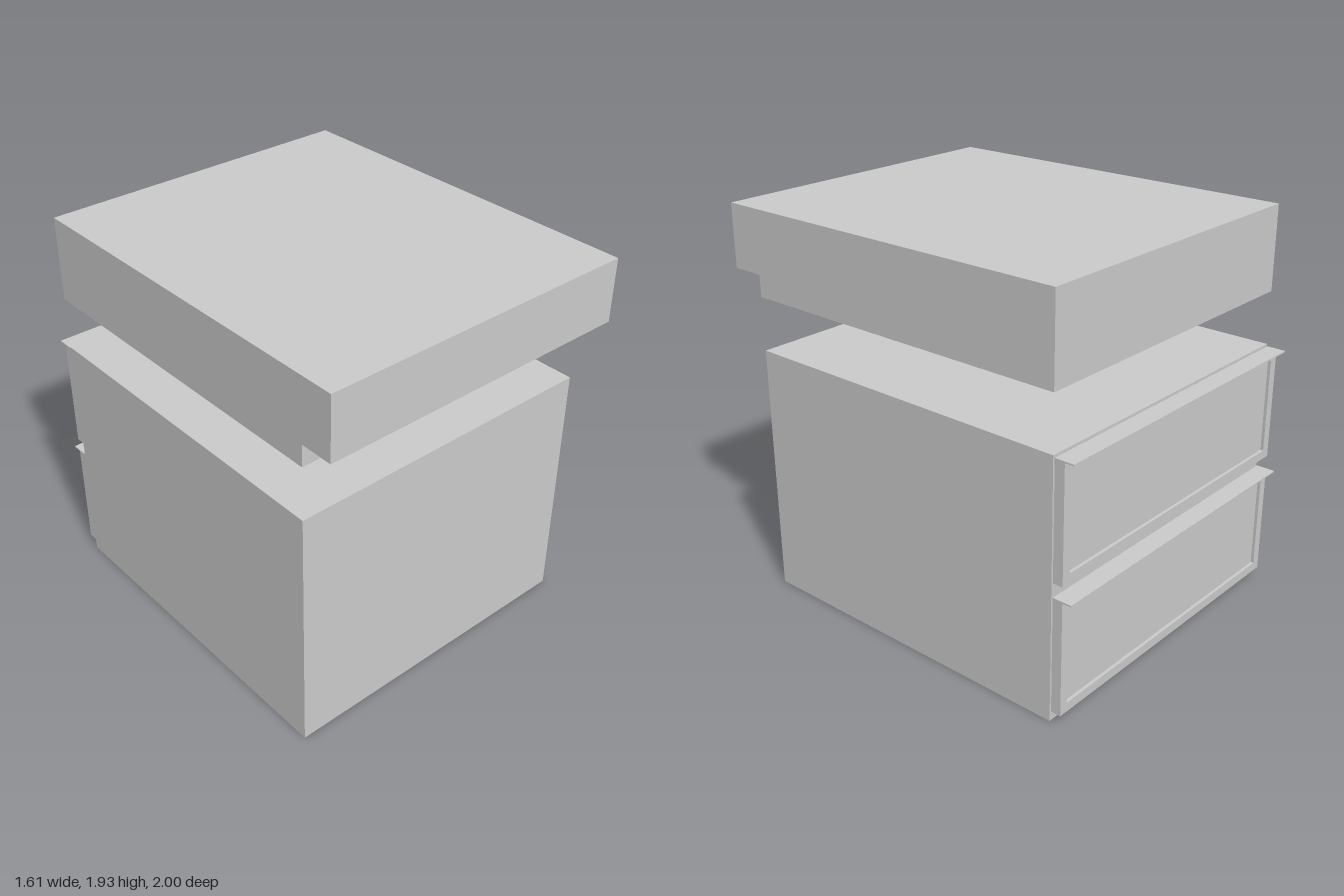
import * as THREE from 'three';

const WIDTH = 1.612;
const material = new THREE.MeshStandardMaterial({ color: 0xcccccc, flatShading: true });

// Box given by its y and z extents, centred on x
function slab(name, width, y0, y1, z0, z1) {
  const mesh = new THREE.Mesh(new THREE.BoxGeometry(width, y1 - y0, z1 - z0), material);
  mesh.position.set(0, (y0 + y1) / 2, (z0 + z1) / 2);
  mesh.name = name;
  return mesh;
}

// Worktop slab with a step under its front overhang, drawn in (z, y) and extruded across x
function createWorktop() {
  const profile = new THREE.Shape([
    [-0.9, 1.515], [0.835, 1.515], [0.835, 1.622], [1, 1.622], [1, 1.932], [-0.9, 1.932],
  ].map(([z, y]) => new THREE.Vector2(z, y)));
  const geometry = new THREE.ExtrudeGeometry(profile, { depth: WIDTH, bevelEnabled: false });
  geometry.translate(0, 0, -WIDTH / 2).rotateY(-Math.PI / 2);
  const mesh = new THREE.Mesh(geometry, material);
  mesh.name = 'worktop';
  return mesh;
}

// Drawer front: raised frame, recessed panel and a thin pull lip along the top
function createDrawer(name, bottom) {
  const drawer = new THREE.Group();
  drawer.name = name;
  const w = 1.606, h = 0.562, border = 0.045;

  const rectangle = (Type, inset) => new Type([
    new THREE.Vector2(-w / 2 + inset, inset),
    new THREE.Vector2(w / 2 - inset, inset),
    new THREE.Vector2(w / 2 - inset, h - inset),
    new THREE.Vector2(-w / 2 + inset, h - inset),
  ]);
  const outline = rectangle(THREE.Shape, 0);
  outline.holes.push(rectangle(THREE.Path, border));
  const frame = new THREE.Mesh(
    new THREE.ExtrudeGeometry(outline, { depth: 0.05, bevelEnabled: false }), material);
  frame.position.z = -0.955;
  frame.name = 'drawerFrame';

  drawer.add(
    frame,
    slab('drawerPanel', w - 2 * border, border, h - border, -0.94, -0.905),
    slab('pullLip', w, h - 0.007, h, -1, -0.955),
  );
  drawer.position.y = bottom;
  return drawer;
}

export function createModel() {
  const model = new THREE.Group();
  model.name = 'drawerCabinet';
  model.add(
    slab('cabinetBody', WIDTH, 0, 1.252, -0.9, 0.835),
    createWorktop(),
    createDrawer('lowerDrawer', 0.05),
    createDrawer('upperDrawer', 0.68),
  );
  return model;
}
